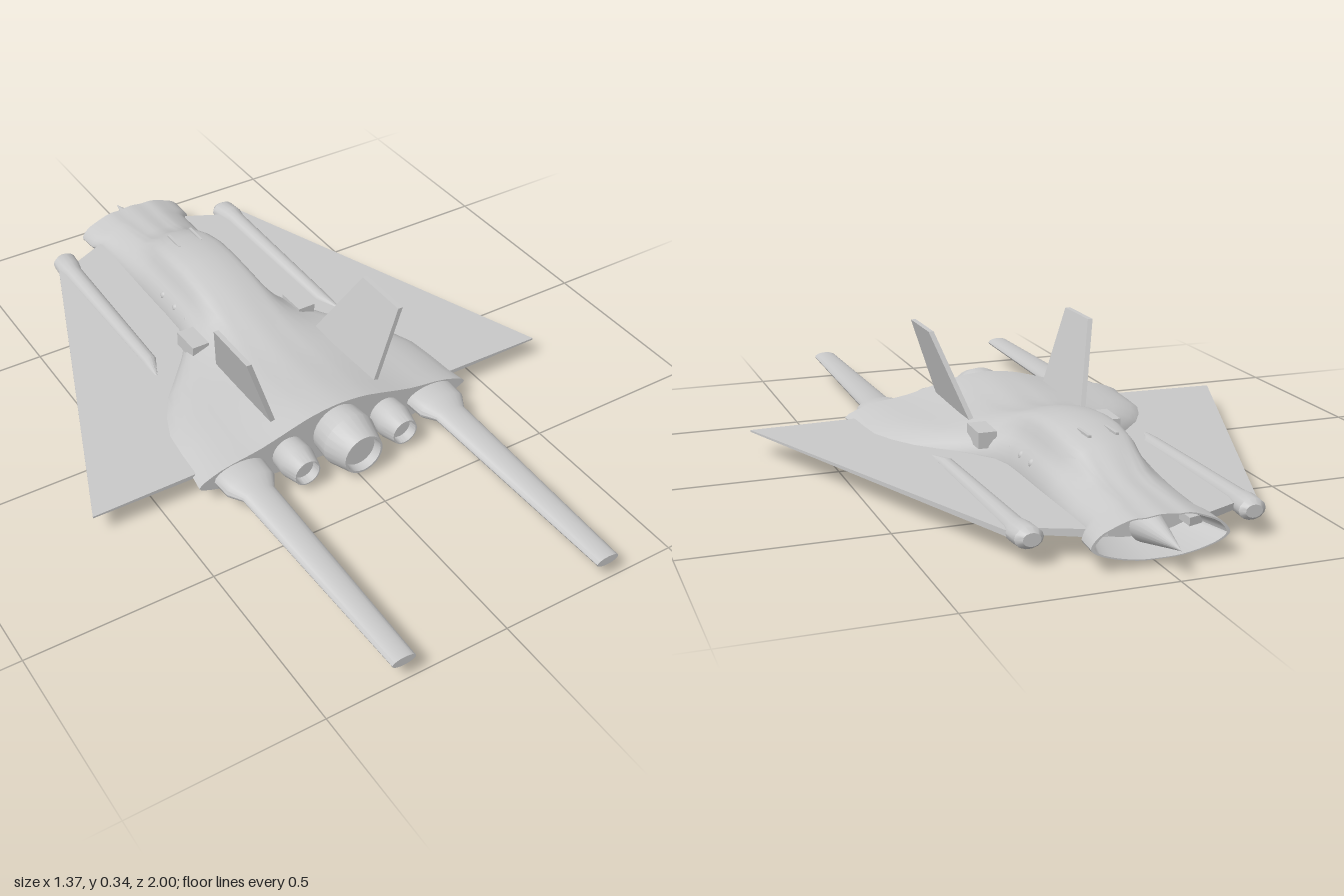
import * as THREE from 'three';
import { toCreasedNormals } from 'three/addons/utils/BufferGeometryUtils.js';

const hull = new THREE.MeshStandardMaterial({ color: 0xc8c8c8 });
hull.name = 'hull grey';

// Skin over a row of equal-length rings running toward +z, capped at both ends
function loft(rings, crease = 0.6) {
  const n = rings[0].length, pos = [], idx = [];
  rings.forEach(r => r.forEach(p => pos.push(p.x, p.y, p.z)));
  for (let i = 0; i < rings.length - 1; i++)
    for (let j = 0; j < n; j++) {
      const a = i * n + j, b = i * n + (j + 1) % n;
      idx.push(a, b, a + n, b, b + n, a + n);
    }
  [0, rings.length - 1].forEach((i, end) => {
    const c = rings[i].reduce((s, p) => s.add(p), new THREE.Vector3()).divideScalar(n);
    const k = pos.push(c.x, c.y, c.z) / 3 - 1;
    for (let j = 0; j < n; j++) {
      const a = i * n + j, b = i * n + (j + 1) % n;
      end ? idx.push(k, a, b) : idx.push(k, b, a);
    }
  });
  const g = new THREE.BufferGeometry();
  g.setAttribute('position', new THREE.Float32BufferAttribute(pos, 3));
  g.setIndex(idx);
  return toCreasedNormals(g, crease);
}

// Elliptical ring
function ellipse(z, x, y, rx, ry, n = 20) {
  return Array.from({ length: n }, (_, i) => {
    const a = i / n * Math.PI * 2;
    return new THREE.Vector3(x + rx * Math.cos(a), y + ry * Math.sin(a), z);
  });
}

// Blended-body ring: half width, top, bottom, edge height, spine half width, shoulder height
function bodyRing([z, w, top, bot, edge, h, sh]) {
  const half = [
    [w, edge], [h + (w - h) * 0.8, edge + (sh - edge) * 0.6], [h + (w - h) * 0.42, sh],
    [h, top - (top - sh) * 0.25], [h * 0.55, top - 0.004], [0, top]];
  const low = [[0, bot], [w * 0.33, bot + 0.002], [w * 0.68, bot + (edge - bot) * 0.32], [w * 0.92, bot + (edge - bot) * 0.68]];
  const mirror = a => a.slice().reverse().map(([x, y]) => [-x, y]);
  const pts = [...half, ...mirror(half.slice(0, -1)), ...mirror(low.slice(1)), ...low];
  const curve = new THREE.CatmullRomCurve3(pts.map(([x, y]) => new THREE.Vector3(x, y, z)), true);
  return curve.getPoints(pts.length * 3).slice(0, -1);
}

// Flat side-profile plate given as [z, y] points
function sidePlate(points, depth) {
  const shape = new THREE.Shape(points.map(p => new THREE.Vector2(...p)));
  return new THREE.ExtrudeGeometry(shape, { depth, bevelEnabled: false })
    .translate(0, 0, -depth / 2).rotateY(-Math.PI / 2);
}

// Move every vertex by a rule
function warp(g, rule) {
  const p = g.attributes.position, v = new THREE.Vector3();
  for (let i = 0; i < p.count; i++) {
    rule(v.fromBufferAttribute(p, i));
    p.setXYZ(i, v.x, v.y, v.z);
  }
  g.computeVertexNormals();
  return g;
}

export function createModel() {
  const model = new THREE.Group();
  const add = (name, geo, x = 0, y = 0, z = 0) => {
    const m = new THREE.Mesh(geo, hull);
    m.name = name;
    m.position.set(x, y, z);
    model.add(m);
    return m;
  };

  // Fuselage with canopy hump; its first rings form the hollow intake
  const rings = [
    [-0.9, 0.168, 0.123, 0.02, 0.062, 0.07, 0.106],
    [-0.84, 0.165, 0.126, 0.02, 0.064, 0.07, 0.108],
    [-0.81, 0.147, 0.13, 0.018, 0.066, 0.065, 0.114],
    [-0.72, 0.145, 0.138, 0.015, 0.067, 0.06, 0.122],
    [-0.67, 0.145, 0.152, 0.01, 0.068, 0.06, 0.128],
    [-0.6, 0.145, 0.196, 0.005, 0.068, 0.068, 0.137],
    [-0.55, 0.145, 0.208, 0.004, 0.068, 0.08, 0.145],
    [-0.48, 0.145, 0.22, 0.004, 0.068, 0.085, 0.15],
    [-0.4, 0.145, 0.222, 0.004, 0.068, 0.085, 0.152],
    [-0.32, 0.147, 0.214, 0.005, 0.068, 0.085, 0.15],
    [-0.26, 0.162, 0.203, 0.006, 0.068, 0.085, 0.146],
    [-0.2, 0.205, 0.186, 0.007, 0.068, 0.085, 0.139],
    [-0.14, 0.258, 0.17, 0.008, 0.068, 0.085, 0.132],
    [-0.07, 0.322, 0.155, 0.008, 0.068, 0.09, 0.124],
    [0, 0.364, 0.148, 0.008, 0.068, 0.095, 0.12],
    [0.07, 0.392, 0.15, 0.008, 0.068, 0.1, 0.118],
    [0.15, 0.4, 0.157, 0.008, 0.068, 0.1, 0.118],
    [0.22, 0.404, 0.164, 0.008, 0.068, 0.1, 0.118],
    [0.275, 0.412, 0.165, 0.008, 0.068, 0.1, 0.118],
  ].map(bodyRing);
  const inner = (k, z) => rings[0].map(p => new THREE.Vector3(p.x * k, 0.07 + (p.y - 0.07) * k, z));
  add('fuselage', loft([inner(0.75, -0.78), inner(0.95, -0.9), ...rings], 0.7));

  // Intake spike
  add('intakeSpike', new THREE.ConeGeometry(0.042, 0.18, 20).rotateX(-Math.PI / 2), 0, 0.072, -0.91);

  // Nozzles: tapered cups with a recessed disc
  const nozzle = (name, x, y, r, rEnd, len) => {
    const profile = [[r * 0.9, -0.03], [r * 0.95, 0], [r, len * 0.45], [rEnd, len], [rEnd * 0.9, len], [rEnd * 0.85, len - 0.025], [0, len - 0.025]];
    const g = new THREE.LatheGeometry(profile.map(p => new THREE.Vector2(...p)), 24).rotateX(Math.PI / 2);
    add(name, toCreasedNormals(g, 0.4), x, y, 0.275);
  };
  nozzle('mainNozzle', 0, 0.085, 0.078, 0.057, 0.125);

  for (const s of [-1, 1]) {
    const side = s > 0 ? 'left' : 'right';
    nozzle(side + 'Nozzle', s * 0.15, 0.07, 0.05, 0.037, 0.095);

    // Thin delta wing, tapering toward the tip
    const outline = [[0.1, -0.835], [0.145, -0.82], [0.25, -0.77], [0.31, -0.765], [0.685, 0.23], [0.1, 0.23]];
    const wing = new THREE.ExtrudeGeometry(
      new THREE.Shape(outline.map(([x, z]) => new THREE.Vector2(s * x, z))), { depth: 1, bevelEnabled: false })
      .rotateX(Math.PI / 2).translate(0, 0.5, 0);
    add(side + 'Wing', warp(wing, v => {
      v.y = 0.07 + v.y * THREE.MathUtils.mapLinear(Math.abs(v.x), 0.1, 0.685, 0.02, 0.005);
    }));

    // Leading-edge pod fading into the wing
    const pod = [[-0.82, 0.272, 0.022, 0.016], [-0.805, 0.274, 0.035, 0.026], [-0.76, 0.278, 0.035, 0.027],
      [-0.73, 0.279, 0.028, 0.024], [-0.24, 0.282, 0.022, 0.018], [-0.15, 0.3, 0.002, 0.005]];
    add(side + 'WingPod', loft(pod.map(([z, x, a, b]) => ellipse(z, s * x, 0.07, a, b, 14))));

    // Rear boom with a wide collar
    const boom = [[0.2, 0.07, 0.03], [0.28, 0.073, 0.034], [0.33, 0.07, 0.032], [0.37, 0.046, 0.019], [1, 0.032, 0.013]];
    add(side + 'Boom', loft(boom.map(([z, a, b]) => ellipse(z, s * 0.295, 0.07, a, b))));

    // Outward-canted tail fin
    const fin = sidePlate([[-0.08, 0.115], [0.215, 0.115], [0.215, 0.346], [0.05, 0.346]], 0.014);
    add(side + 'Fin', warp(fin, v => { v.x += s * (0.155 + (v.y - 0.12) * 0.322); }));

    // Shoulder wedge
    add(side + 'Scoop', sidePlate([[-0.235, 0.1], [-0.145, 0.1], [-0.145, 0.145], [-0.235, 0.142]], 0.05), s * 0.17, 0, 0);

    // Side ports
    for (const z of [-0.44, -0.37, -0.3])
      add(side + 'Port', new THREE.SphereGeometry(0.013, 10, 8), s * 0.125, 0.115, z);
  }

  // Canopy frame plates
  for (const x of [-0.035, 0.035])
    add('canopyFrame', new THREE.BoxGeometry(0.008, 0.006, 0.07), x, 0.211, -0.54);

  return model;
}
